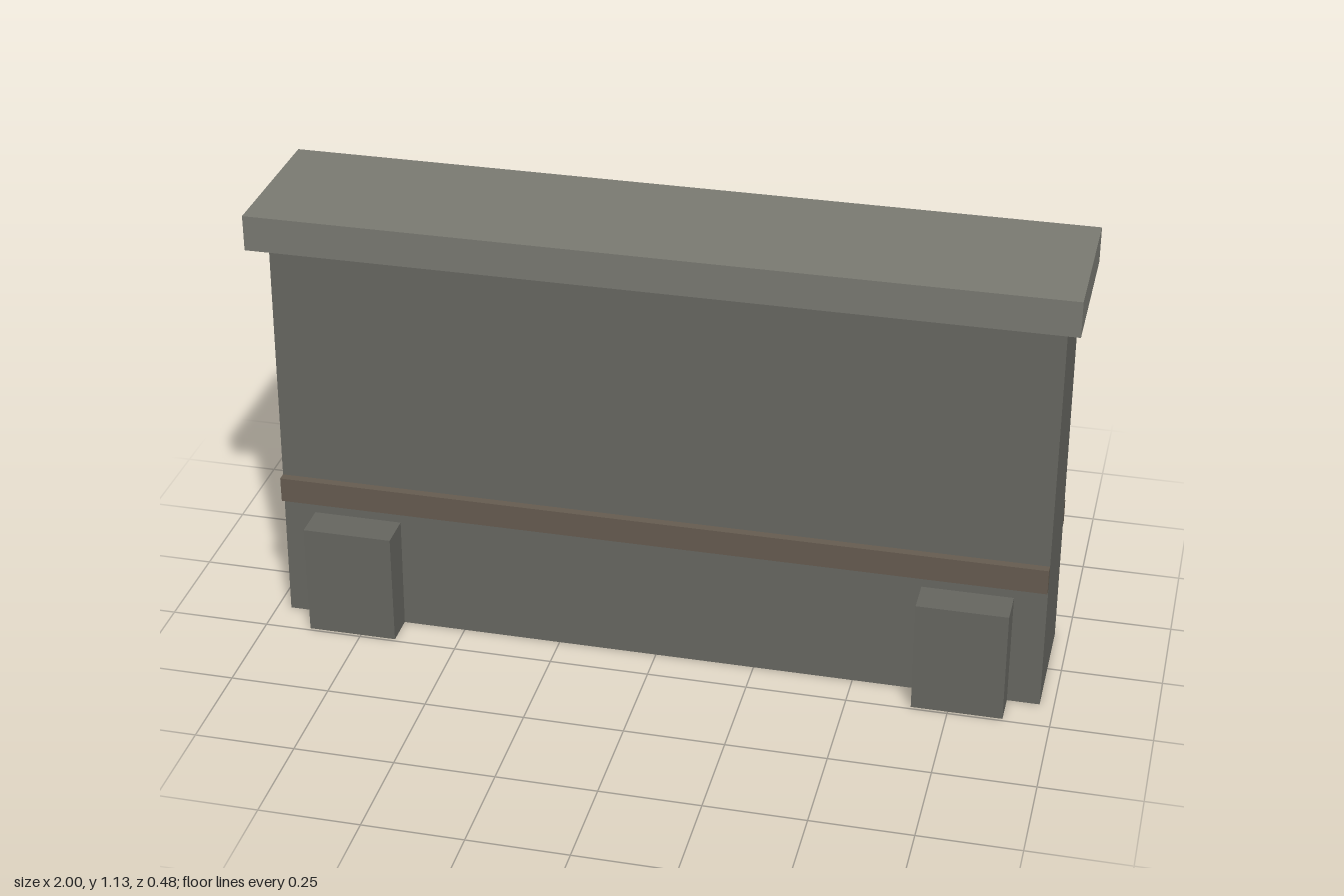
import * as THREE from 'three';

export function createModel() {
  const group = new THREE.Group();
  const stone = new THREE.MeshStandardMaterial({ color: 0x666660, flatShading: true });
  const capStone = new THREE.MeshStandardMaterial({ color: 0x7a7a72, flatShading: true });
  const trim = new THREE.MeshStandardMaterial({ color: 0x665c50, flatShading: true });

  const add = (name, geometry, material, x = 0, y = 0, z = 0) => {
    const mesh = new THREE.Mesh(geometry, material);
    mesh.name = name;
    mesh.position.set(x, y, z);
    group.add(mesh);
  };

  // Wall: a box whose upper edges lean inward
  const height = 1.036;
  const wall = new THREE.BoxGeometry(1.93, height, 0.32);
  const p = wall.attributes.position;
  for (let i = 0; i < p.count; i++) {
    if (p.getY(i) > 0) p.setZ(i, Math.sign(p.getZ(i)) * 0.132);
  }
  wall.computeVertexNormals();
  add('wall', wall, stone, 0, height / 2, 0);

  // Overhanging cap slab
  add('cap', new THREE.BoxGeometry(2, 0.09, 0.402), capStone, 0, height + 0.045, 0);

  for (const [side, s] of [['front', 1], ['back', -1]]) {
    // Trim band along each face
    add(side + 'Band', new THREE.BoxGeometry(1.93, 0.065, 0.04), trim, 0, 0.358, s * 0.151);

    // Buttress blocks near the ends
    for (const [end, e] of [['Left', 1], ['Right', -1]]) {
      add(side + end + 'Buttress', new THREE.BoxGeometry(0.225, 0.292, 0.142), stone,
        e * 0.772, 0.146, s * 0.171);
    }
  }
  return group;
}
